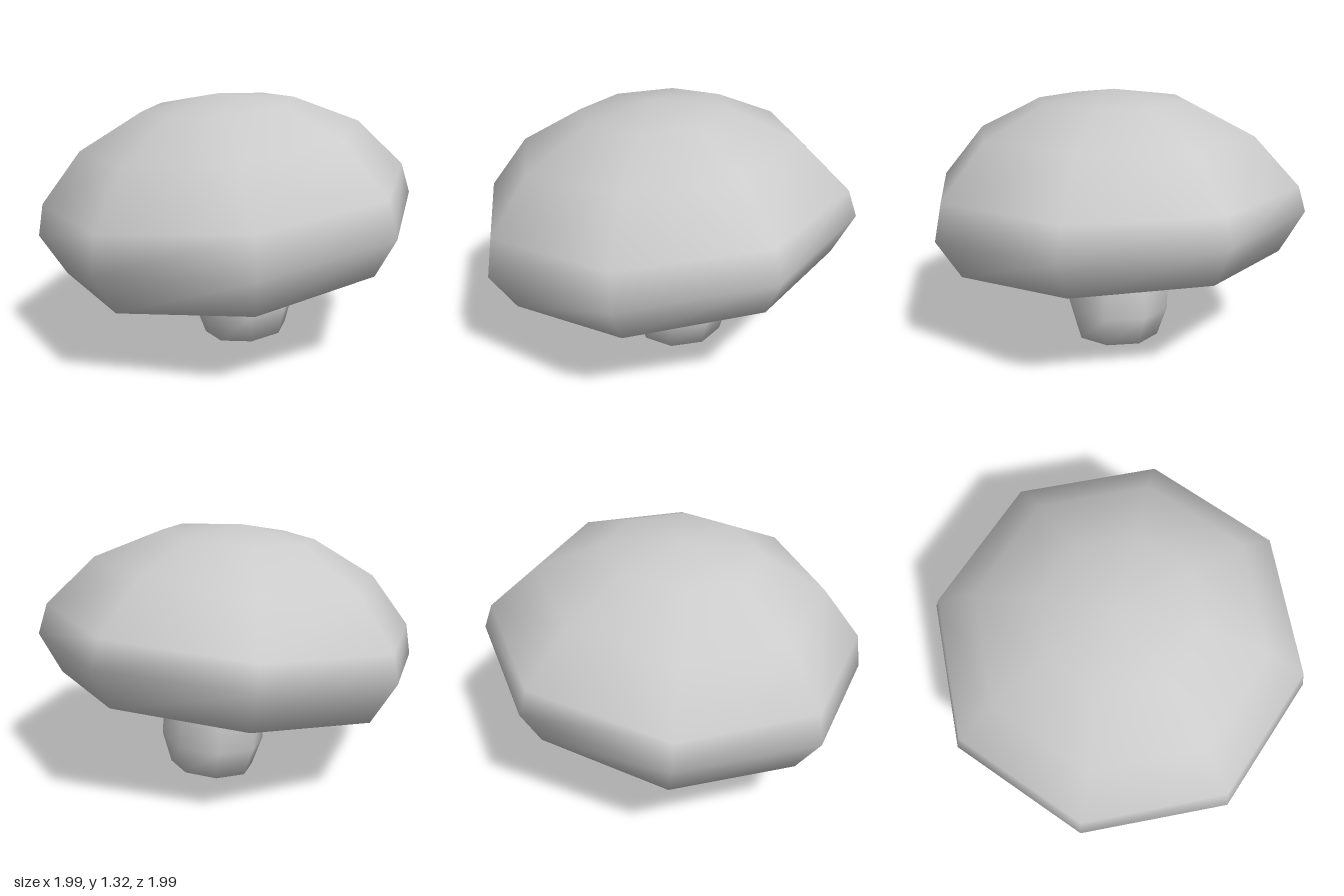
import * as THREE from 'three';
import { mergeVertices } from 'three/addons/utils/BufferGeometryUtils.js';

const SIDES = 8;

// Skins a stack of tilted octagonal rings, listed along the surface.
// Ring: [centre x, y, z, radius, rise per x, rise per z]; radius 0 is a pole.
function loft(rings) {
  const positions = [];
  const index = [];
  for (const [cx, cy, cz, r, sx = 0, sz = 0] of rings) {
    for (let i = 0; i < SIDES; i++) {
      const a = (i / SIDES) * Math.PI * 2;
      const dx = r * Math.cos(a);
      const dz = r * Math.sin(a);
      positions.push(cx + dx, cy + sx * dx + sz * dz, cz + dz);
    }
  }
  for (let j = 0; j < rings.length - 1; j++) {
    for (let i = 0; i < SIDES; i++) {
      const a = j * SIDES + i;
      const b = j * SIDES + ((i + 1) % SIDES);
      if (rings[j][3] > 0) index.push(a, a + SIDES, b);
      if (rings[j + 1][3] > 0) index.push(b, a + SIDES, b + SIDES);
    }
  }
  let geometry = new THREE.BufferGeometry();
  geometry.setAttribute('position', new THREE.Float32BufferAttribute(positions, 3));
  geometry.setIndex(index);
  geometry = mergeVertices(geometry); // join each pole so shading stays smooth
  geometry.computeVertexNormals();
  return geometry;
}

export function createModel() {
  const group = new THREE.Group();
  group.name = 'mushroom';
  const material = new THREE.MeshStandardMaterial({ color: 0xcccccc });

  function add(name, rings) {
    const mesh = new THREE.Mesh(loft(rings), material);
    mesh.name = name;
    group.add(mesh);
  }

  // Leaning cap, from the underside out over the rim to the crown
  add('cap', [
    [0.05, 0.53, 0.01, 0],
    [0.03, 0.52, 0.01, 0.45, 0.12, 0.03],
    [0.01, 0.472, 0.005, 0.872, 0.125, 0.025],
    [-0.005, 0.682, 0, 0.995, 0.115, 0.015],
    [-0.015, 0.845, -0.007, 0.957, 0.089, 0.039],
    [-0.04, 1.1, -0.02, 0.73, 0.082, 0.051],
    [-0.055, 1.265, -0.025, 0.395, 0.076, 0.044],
    [-0.05, 1.32, -0.03, 0],
  ]);

  // Bulging stem, running up into the cap
  add('stem', [
    [0.1, 0.022, 0.042, 0],
    [0.1, 0.022, 0.042, 0.222, 0.08, 0.05],
    [0.095, 0.18, 0.037, 0.272, 0.08, 0.06],
    [0.083, 0.39, 0.028, 0.275, 0.08, 0.05],
    [0.07, 0.57, 0.02, 0.222, 0.08, 0.05],
    [0.07, 0.6, 0.02, 0],
  ]);

  return group;
}
